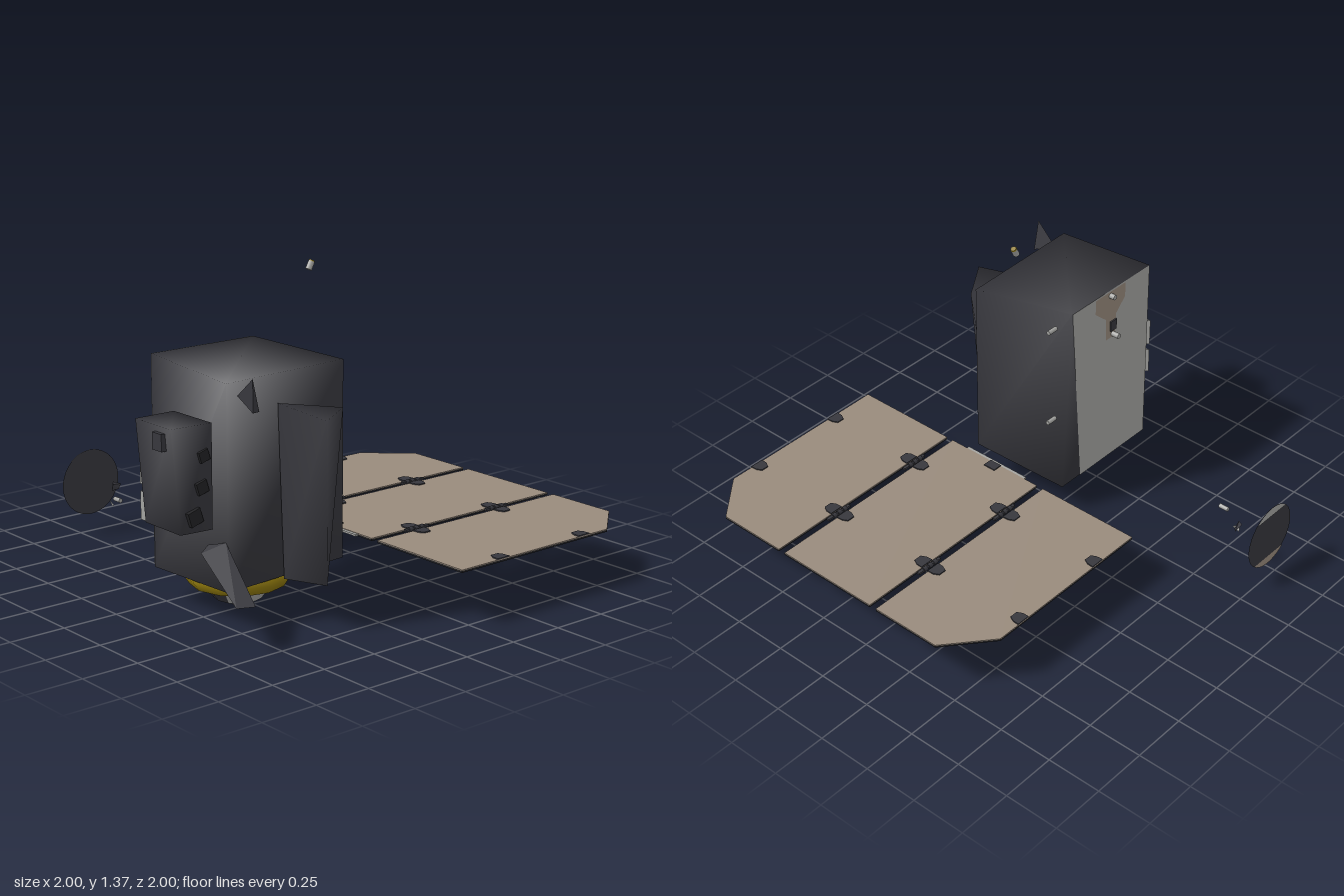
import * as THREE from 'three';
import { ConvexGeometry } from 'three/addons/geometries/ConvexGeometry.js';

const mat = (name, color, side = THREE.FrontSide) => {
  const m = new THREE.MeshStandardMaterial({ color, side });
  m.name = name;
  return m;
};

export function createModel() {
  const dark = mat('charcoal foil', 0x37373d, THREE.DoubleSide);
  const black = mat('black backing', 0x222224);
  const taupe = mat('taupe cells', 0x988a7c);
  const grey = mat('light grey metal', 0xa4a4a1, THREE.DoubleSide);
  const yellow = mat('yellow ring', 0x8c760c);

  const root = new THREE.Group();
  root.name = 'satellite';
  const add = (name, geo, material, x = 0, y = 0, z = 0, parent = root) => {
    const m = new THREE.Mesh(geo, material);
    m.name = name;
    m.position.set(x, y, z);
    parent.add(m);
    return m;
  };

  // Closed solid between two rings, counter-clockwise from above, smooth normals
  const loft = (bottom, top) => {
    const n = bottom.length, idx = [];
    for (let i = 0; i < n; i++) {
      const j = (i + 1) % n;
      idx.push(i, j, n + j, i, n + j, n + i);
    }
    for (let i = 1; i < n - 1; i++) idx.push(n, n + i, n + i + 1, 0, i + 1, i);
    const g = new THREE.BufferGeometry();
    g.setAttribute('position', new THREE.Float32BufferAttribute([...bottom, ...top].flat(), 3));
    g.setIndex(idx);
    g.computeVertexNormals();
    return g;
  };
  const hull = (pts) => new ConvexGeometry(pts.map((p) => new THREE.Vector3(...p)));
  // Horizontal plate from x,z points
  const plate = (pts, h) => new THREE.ExtrudeGeometry(
    new THREE.Shape(pts.map(([x, z]) => new THREE.Vector2(x, -z))),
    { depth: h, bevelEnabled: false }).rotateX(-Math.PI / 2);
  // Flat face looking to -z from x,y points
  const backFace = (pts) => new THREE.ShapeGeometry(
    new THREE.Shape(pts.map(([x, y]) => new THREE.Vector2(-x, y)))).rotateY(Math.PI);
  const box = (x, y, z) => new THREE.BoxGeometry(x, y, z);

  // Main body, with a slightly twisted side
  add('body', loft(
    [[-0.77, 0.155, 0.44], [-0.16, 0.17, 0.42], [-0.2, 0.14, -0.047], [-0.77, 0.14, -0.047]],
    [[-0.77, 1.0, 0.44], [-0.16, 1.005, 0.42], [-0.25, 1.035, -0.047], [-0.77, 1.035, -0.047]],
  ), dark);
  add('backPanel', backFace([[-0.25, 1.035], [-0.32, 0.14], [-0.77, 0.14], [-0.77, 1.035]]), grey, 0, 0, -0.05);
  add('backPatch', backFace([[-0.4, 1.03], [-0.4, 0.96], [-0.47, 0.9], [-0.475, 0.79], [-0.535, 0.79],
    [-0.54, 0.9], [-0.6, 0.96], [-0.6, 1.03]]), taupe, 0, 0, -0.053);

  // Small pins on the body
  const pin = (name, r, len, axis, x, y, z, material = grey) => {
    const g = new THREE.CylinderGeometry(r, r, len, 10);
    if (axis === 'x') g.rotateZ(Math.PI / 2);
    if (axis === 'z') g.rotateX(Math.PI / 2);
    return add(name, g, material, x, y, z);
  };
  for (const y of [0.505, 0.975]) pin('sidePin', 0.01, 0.05, 'x', -0.17, y, -0.005);
  for (const y of [0.43, 0.76]) pin('bracketPin', 0.009, 0.05, 'x', -0.785, y, 0.16);
  pin('backPin', 0.012, 0.04, 'z', -0.52, 0.805, -0.07);
  pin('backPin', 0.012, 0.03, 'z', -0.5, 1.01, -0.063);
  add('pinMount', box(0.04, 0.05, 0.008), dark, -0.52, 0.85, -0.055);

  // Tall twisted shell on the front
  add('frontShell', loft(
    [[-0.49, 0.155, 0.445], [-0.48, 0.19, 0.7], [-0.28, 0.16, 0.445]],
    [[-0.52, 0.885, 0.445], [-0.48, 0.855, 0.695], [-0.29, 0.855, 0.57]],
  ), dark);

  // Pointed sensor shade near the top
  add('sensorShade', hull([[-0.735, 1.035, 0.56], [-0.735, 0.9, 0.56], [-0.7, 0.9, 0.555], [-0.72, 0.945, 0.445]]), dark);

  // Side equipment box with its fittings
  add('equipmentBox', loft(
    [[-0.945, 0.41, 0.37], [-0.8, 0.41, 0.385], [-0.8, 0.41, 0.14], [-0.945, 0.41, 0.14]],
    [[-0.985, 0.84, 0.37], [-0.8, 0.84, 0.385], [-0.8, 0.84, 0.14], [-0.985, 0.84, 0.14]],
  ), dark);
  add('boxNub', box(0.03, 0.07, 0.06), dark, -0.985, 0.78, 0.3);
  for (const [x, y, s] of [[-0.84, 0.715, 0.045], [-0.85, 0.59, 0.05], [-0.885, 0.475, 0.06]]) {
    const f = add('boxFitting', box(s, s, 0.02), black, x, y, 0.382);
    f.rotation.z = 0.3;
  }
  for (const [y, h] of [[0.38, 0.12], [0.53, 0.13]]) {
    add('sideBracket', plate([[-0.88, 0.14], [-0.82, 0.14], [-0.82, 0.11], [-0.88, 0.015]], h), grey, 0, y, 0);
  }

  // Faceted shade at the lower corner
  add('lowerShade', hull([[-0.9, 0.18, 0.66], [-0.83, 0.18, 0.69], [-0.77, 0.18, 0.55], [-0.77, 0.36, 0.43],
    [-0.87, 0.33, 0.4], [-0.82, 0.35, 0.38], [-0.79, 0.18, 0.45]]), dark);

  // Yellow adapter ring, engine cone and nozzle under the body
  const base = new THREE.Group();
  base.name = 'engineBase';
  base.position.set(-0.545, 0, 0.215);
  root.add(base);
  const ring = [[0.16, 0.17], [0.155, 0.1], [0.2, 0.1], [0.222, 0.135], [0.205, 0.175], [0.16, 0.17]];
  add('adapterRing', new THREE.LatheGeometry(ring.map((p) => new THREE.Vector2(...p)), 12), yellow, 0, 0, 0, base);
  [grey, dark, taupe, grey, dark, grey].forEach((m, i) => add('coneSector',
    new THREE.CylinderGeometry(0.155, 0.1, 0.07, 2, 1, true, i * Math.PI / 3, Math.PI / 3), m, 0, 0.07, 0, base));
  add('coneFloor', new THREE.CylinderGeometry(0.1, 0.1, 0.004, 12), dark, 0, 0.037, 0, base);
  add('nozzle', new THREE.CylinderGeometry(0.015, 0.03, 0.04, 12), dark, 0.005, 0.02, 0, base);
  add('ringClamp', box(0.02, 0.045, 0.06), dark, 0.215, 0.13, 0, base);

  // Three solar panels: dark backing under a thin cell layer
  const panels = [
    [[-0.04, -0.07], [1, -0.07], [1, -0.4], [0.8, -0.57], [-0.04, -0.57]],
    [[-0.04, 0.465], [1, 0.465], [1, -0.035], [-0.04, -0.035]],
    [[-0.04, 1], [0.8, 1], [1, 0.83], [1, 0.5], [-0.04, 0.5]],
  ];
  for (const p of panels) {
    add('panelBacking', plate(p, 0.008), black, 0, 0.226, 0);
    add('panelCells', plate(p, 0.004), taupe, 0, 0.234, 0);
  }

  // Hinges: tongues on the panel edges and knuckles in the gaps
  const edges = [[-0.57, 1], [-0.07, -1], [-0.035, 1], [0.465, -1], [0.5, 1], [1, -1]];
  for (const x of [0.19, 0.66]) {
    for (const [z, s] of edges) {
      const pts = [[-0.032, 0], [0.032, 0], [0.03, 0.03], [0.018, 0.053], [-0.018, 0.053], [-0.03, 0.03]];
      const tongue = pts.map(([a, b]) => [a, b * s]);
      add('hingeTongue', plate(s > 0 ? tongue.reverse() : tongue, 0.005), dark, x, 0.238, z);
    }
    for (const z of [-0.052, 0.482]) {
      add('hingeBar', box(0.13, 0.01, 0.014), dark, x + 0.005, 0.24, z);
      for (const o of [-0.03, 0, 0.03]) pin('hingeKnuckle', 0.011, 0.02, 'x', x + o, 0.24, z, dark);
    }
  }
  add('rootStrip', box(0.016, 0.008, 0.34), grey, -0.047, 0.232, 0.21);
  add('rootLug', box(0.045, 0.012, 0.06), dark, -0.018, 0.237, 0.205);

  // Detached dish behind, with two pale end caps on its rear face
  add('dish', new THREE.CircleGeometry(0.15, 40), dark, -0.44, 0.23, -0.997);
  const cap = (name, a, m) => {
    const half = 0.75, pts = [];
    for (let i = 0; i <= 10; i++) {
      const t = a - half + (2 * half * i) / 10;
      pts.push([0.15 * Math.cos(t), 0.15 * Math.sin(t)]);
    }
    add(name, backFace(pts), m, -0.44, 0.23, -1);
  };
  cap('dishUpperCap', Math.PI / 2, grey);
  cap('dishLowerCap', -Math.PI / 2, taupe);

  // Loose feed parts between dish and body
  pin('feedTube', 0.01, 0.045, 'z', -0.48, 0.215, -0.727);
  add('feedSliver', hull([[-0.46, 0.165, -0.8], [-0.44, 0.165, -0.84], [-0.455, 0.19, -0.835], [-0.45, 0.167, -0.8]]), grey);
  add('feedPlate', hull([[-0.43, 0.22, -0.845], [-0.4, 0.25, -0.88], [-0.36, 0.235, -0.875],
    [-0.39, 0.22, -0.85], [-0.42, 0.245, -0.85]]), dark);

  // Floating thruster above
  const thruster = new THREE.Group();
  thruster.name = 'thruster';
  thruster.position.set(-0.1, 1.34, 0.14);
  thruster.rotation.z = -0.5;
  root.add(thruster);
  add('thrusterBody', new THREE.CylinderGeometry(0.014, 0.014, 0.036, 10), grey, 0, 0, 0, thruster);
  add('thrusterCap', new THREE.CylinderGeometry(0.012, 0.014, 0.006, 10), yellow, 0, 0.02, 0, thruster);

  return root;
}
